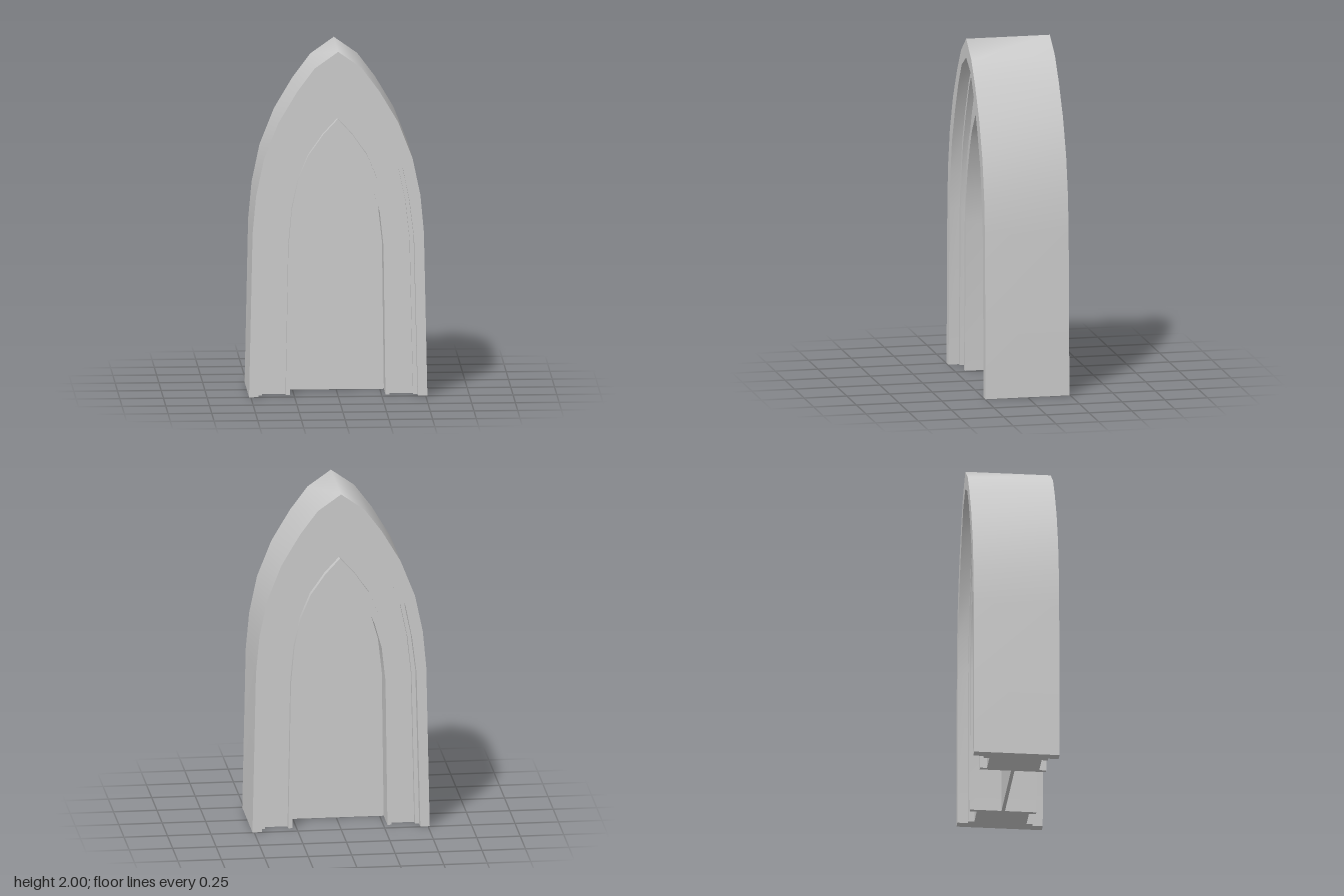
import * as THREE from 'three';
import { toCreasedNormals } from 'three/addons/utils/BufferGeometryUtils.js';

// Right half of each concentric pointed arch, from the foot up to the apex (x, y).
const HALVES = {
  outer: [[0.51, 0], [0.49, 0.95], [0.47, 1.165], [0.425, 1.38], [0.342, 1.59], [0.235, 1.77], [0.134, 1.905], [0, 2]],
  lip: [[0.456, 0], [0.434, 0.92], [0.408, 1.13], [0.37, 1.32], [0.29, 1.52], [0.2, 1.7], [0.115, 1.825], [0, 1.89]],
  step: [[0.432, 0], [0.412, 0.9], [0.388, 1.12], [0.348, 1.31], [0.275, 1.5], [0.19, 1.675], [0.108, 1.795], [0, 1.86]],
  trim: [[0.297, 0], [0.282, 0.86], [0.262, 1.08], [0.226, 1.25], [0.168, 1.39], [0.125, 1.45], [0.085, 1.508], [0, 1.6]],
  opening: [[0.273, 0], [0.262, 0.86], [0.24, 1.06], [0.2, 1.2], [0.151, 1.325], [0.12, 1.39], [0.088, 1.447], [0, 1.555]],
};

// Full arch: right foot, apex, left foot.
const arch = (name) => {
  const half = HALVES[name];
  return [...half, ...half.slice(0, -1).reverse().map(([x, y]) => [-x, y])];
};

// Moulding section on the front side, from the outer face in to the opening (arch, z).
const FRONT = [
  ['outer', 0.245], ['lip', 0.245], ['lip', 0.185], ['step', 0.185],
  ['step', 0.15], ['trim', 0.15], ['trim', 0.19], ['opening', 0.19],
];
// The back repeats the front; the closed ring runs along the back, then returns along the front.
const SECTION = [...FRONT.map(([n, z]) => [n, -z]), ...[...FRONT].reverse()];

// Sweep the moulding section over the arch.
function mouldingGeometry() {
  const rails = SECTION.map(([name, z]) => arch(name).map(([x, y]) => [x, y, z]));
  const positions = [];
  rails.forEach((rail, i) => {
    const next = rails[(i + 1) % rails.length];
    for (let j = 0; j < rail.length - 1; j++) {
      const [a, b, c, d] = [rail[j], next[j], next[j + 1], rail[j + 1]];
      positions.push(...a, ...b, ...c, ...a, ...c, ...d);
    }
  });
  const geometry = new THREE.BufferGeometry();
  geometry.setAttribute('position', new THREE.Float32BufferAttribute(positions, 3));
  geometry.computeVertexNormals();
  return toCreasedNormals(geometry, 1.3);
}

// Flat underside of one jamb.
function footGeometry(side) {
  const points = SECTION.map(([name, z]) => new THREE.Vector2(side * HALVES[name][0][0], z));
  return new THREE.ShapeGeometry(new THREE.Shape(points)).rotateX(Math.PI / 2);
}

// Thin panel closing the opening, midway through the depth.
function panelGeometry() {
  const shape = new THREE.Shape(arch('opening').map(([x, y]) => new THREE.Vector2(x, y)));
  return new THREE.ExtrudeGeometry(shape, { depth: 0.02, bevelEnabled: false }).translate(0, 0, -0.01);
}

export function createModel() {
  const group = new THREE.Group();
  group.name = 'pointedArchDoorway';
  const material = new THREE.MeshStandardMaterial({ color: 0xcccccc });
  const add = (name, geometry) => {
    const mesh = new THREE.Mesh(geometry, material);
    mesh.name = name;
    group.add(mesh);
  };

  add('archMoulding', mouldingGeometry());
  add('leftJambFoot', footGeometry(1));
  add('rightJambFoot', footGeometry(-1));
  add('doorPanel', panelGeometry());
  return group;
}
